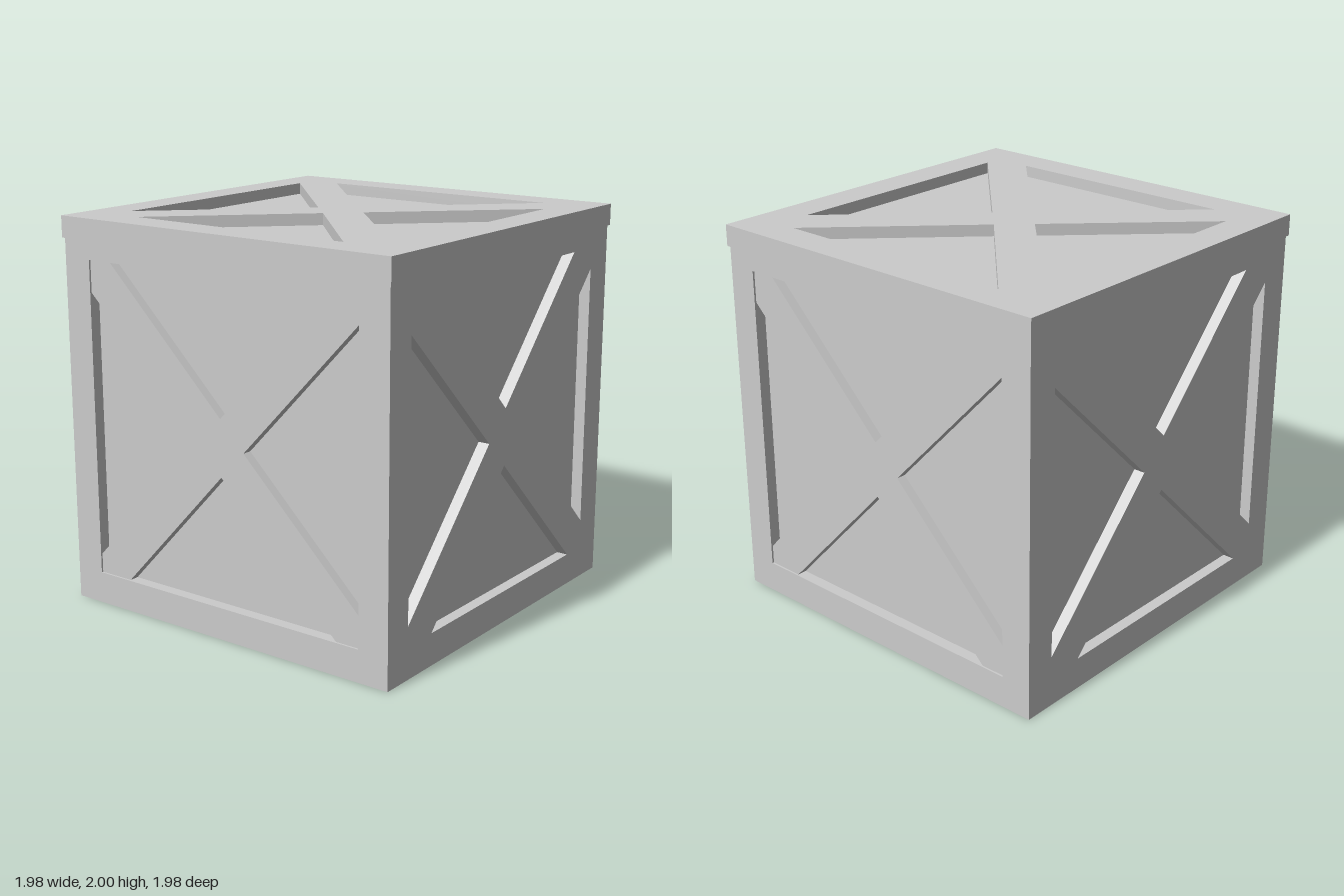
import * as THREE from 'three';

const material = new THREE.MeshStandardMaterial({ color: 0xcccccc, flatShading: true });
const DEPTH = 0.06; // how far the panels sit behind the frames

function addMesh(parent, geometry, name) {
  const mesh = new THREE.Mesh(geometry, material);
  mesh.name = name;
  parent.add(mesh);
  return mesh;
}

const toPoints = (list) => list.map(([x, y]) => new THREE.Vector2(x, y));
const rect = (x0, y0, x1, y1) => [[x0, y0], [x1, y0], [x1, y1], [x0, y1]];

function extrude(points, depth, hole) {
  const shape = new THREE.Shape(toPoints(points));
  if (hole) shape.holes.push(new THREE.Path(toPoints(hole)));
  return new THREE.ExtrudeGeometry(shape, { depth, bevelEnabled: false });
}

// Rectangular frame plus crossed planks, built in the XY plane facing +z
function framedCross(name, outline, opening, cross, crossDepth) {
  const group = new THREE.Group();
  group.name = name;
  addMesh(group, extrude(outline, DEPTH, opening), name + 'Frame');
  addMesh(group, extrude(cross, crossDepth), name + 'CrossPlanks');
  return group;
}

// Outlines of the crossed planks, clockwise from the top left corner
const sideCross = [
  [-0.82, 1.795], [-0.69, 1.795], [0, 1.12], [0.635, 1.795],
  [0.815, 1.795], [0.815, 1.685], [0.14, 0.975], [0.815, 0.32],
  [0.815, 0.165], [0.68, 0.165], [0, 0.83], [-0.625, 0.165],
  [-0.82, 0.165], [-0.82, 0.265], [-0.145, 0.975], [-0.82, 1.63],
];
const lidCross = [
  [-0.81, 0.815], [-0.68, 0.815], [-0.02, 0.14], [0.69, 0.815],
  [0.81, 0.815], [0.81, 0.645], [0.12, -0.005], [0.81, -0.70],
  [0.81, -0.81], [0.62, -0.81], [-0.025, -0.145], [-0.72, -0.81],
  [-0.81, -0.81], [-0.81, -0.605], [-0.165, 0], [-0.81, 0.655],
];

export function createModel() {
  const crate = new THREE.Group();
  crate.name = 'crate';

  // Inner box carrying the recessed panels
  const half = 0.98, height = 1.89, inner = half - DEPTH;
  addMesh(crate, new THREE.BoxGeometry(inner * 2, height, inner * 2), 'body').position.y = height / 2;

  // Four sides; the left and right ones fit between the front and back
  ['front', 'left', 'back', 'right'].forEach((name, i) => {
    const between = i % 2 === 1;
    const w = between ? inner : half;
    const side = framedCross(name, rect(-w, 0, w, height), rect(-0.82, 0.165, 0.815, 1.795),
      sideCross, between ? DEPTH - 0.01 : DEPTH);
    const angle = i * Math.PI / 2;
    side.rotation.y = angle;
    side.position.set(Math.sin(angle) * inner, 0, Math.cos(angle) * inner);
    crate.add(side);
  });

  // Lid with a slight overhang
  const lidHalf = 0.99, slab = 2 - height - DEPTH;
  addMesh(crate, new THREE.BoxGeometry(lidHalf * 2, slab, lidHalf * 2), 'lidPanel').position.y = height + slab / 2;
  const lid = framedCross('lid', rect(-lidHalf, -lidHalf, lidHalf, lidHalf),
    rect(-0.81, -0.81, 0.81, 0.815), lidCross, DEPTH);
  lid.rotation.x = -Math.PI / 2;
  lid.position.y = 2 - DEPTH;
  crate.add(lid);

  return crate;
}
